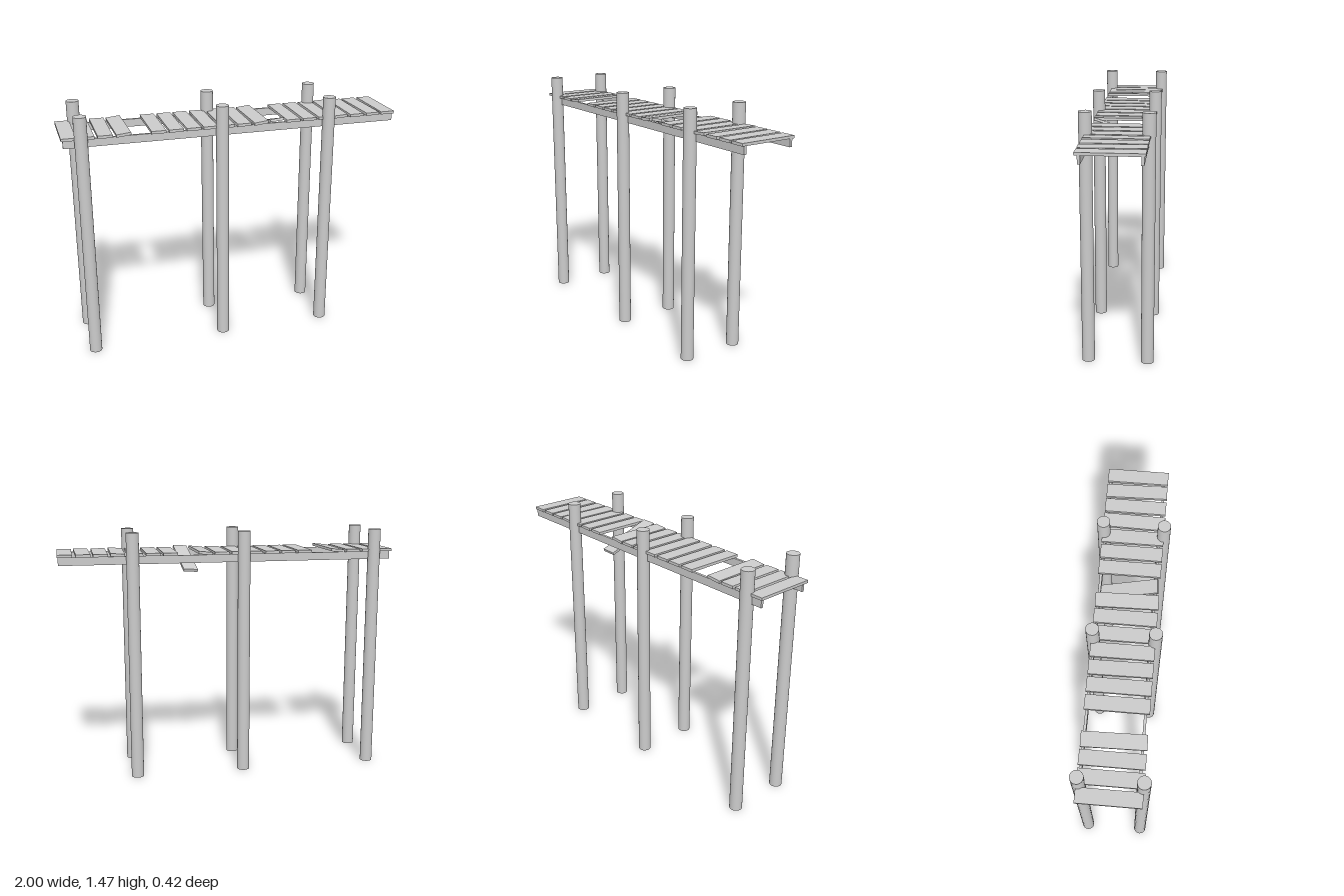
import * as THREE from 'three';

const material = new THREE.MeshStandardMaterial({ color: 0xcccccc });

function addMesh(parent, name, geometry, x, y, z) {
  const mesh = new THREE.Mesh(geometry, material);
  mesh.name = name;
  mesh.position.set(x, y, z);
  parent.add(mesh);
  return mesh;
}

export function createModel() {
  const model = new THREE.Group();
  model.name = 'woodenWalkway';

  // Three pairs of round posts
  const postHeight = 1.47;
  const postGeometry = new THREE.CylinderGeometry(0.037, 0.037, postHeight, 24);
  for (const x of [-0.89, -0.083, 0.573]) {
    for (const z of [0.172, -0.172]) {
      addMesh(model, 'post', postGeometry, x, postHeight / 2, z);
    }
  }

  // Two long rails under the deck
  const railGeometry = new THREE.BoxGeometry(1.985, 0.046, 0.015);
  addMesh(model, 'frontRail', railGeometry, 0.003, 1.312, 0.15);
  addMesh(model, 'backRail', railGeometry, 0.003, 1.312, -0.165);

  // Deck planks at an even pitch: one missing, some worked loose
  const plankGeometry = new THREE.BoxGeometry(0.084, 0.016, 0.355);
  const count = 20;
  const missing = 4;
  const fallen = 12;
  const loose = { // yaw, roll
    3: [0.02, 0.1], 7: [0.012, 0], 11: [0.02, 0.1],
    16: [-0.015, 0.05], 18: [0.025, 0],
  };
  const pitch = (2 - 0.084) / (count - 1);
  for (let i = 0; i < count; i++) {
    if (i === missing || i === fallen) continue;
    const [yaw, roll] = loose[i] ?? [0, 0];
    const x = -0.958 + i * pitch;
    const plank = addMesh(model, 'plank', plankGeometry, x, 1.343 + Math.abs(roll) * 0.025, -0.004);
    plank.rotation.set(0, yaw, roll);
  }

  // Broken plank whose back end has dropped below the deck
  const dropped = addMesh(model, 'fallenPlank', plankGeometry, 0.245, 1.3, -0.006);
  dropped.rotation.set(-0.31, 0.05, 0.06, 'YXZ');

  return model;
}
